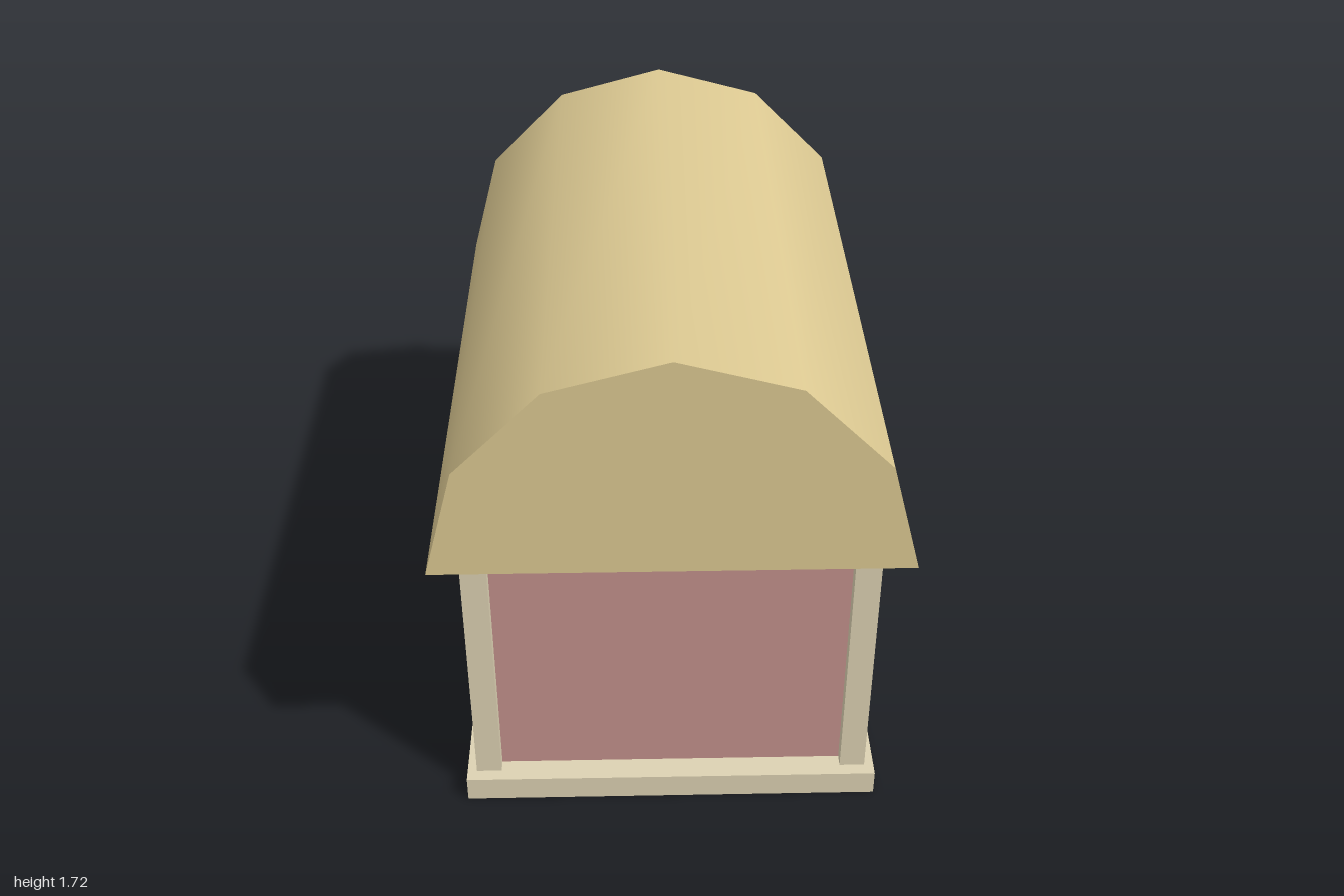
import * as THREE from 'three';

const mat = (name, color) => Object.assign(new THREE.MeshStandardMaterial({ color }), { name });

export function createModel() {
  const roofMat = mat('straw roof', 0xdcc992);
  const wallMat = mat('pink wall', 0xc3918c);
  const trimMat = mat('cream trim', 0xdcd1b2);
  const glassMat = mat('pale blue glass', 0xc3d5dc);
  const darkMat = mat('dark reveal', 0x54434c);

  const model = new THREE.Group();
  model.name = 'cabin';

  const add = (name, geometry, material, parent = model) => {
    const mesh = new THREE.Mesh(geometry, material);
    mesh.name = name;
    parent.add(mesh);
    return mesh;
  };
  // Box given by its lowest and highest corners
  const box = (name, material, [x0, y0, z0], [x1, y1, z1], parent) => {
    const g = new THREE.BoxGeometry(x1 - x0, y1 - y0, z1 - z0);
    g.translate((x0 + x1) / 2, (y0 + y1) / 2, (z0 + z1) / 2);
    return add(name, g, material, parent);
  };
  const rect = (path, [z0, y0, z1, y1]) => path
    .moveTo(-z1, y0).lineTo(-z0, y0).lineTo(-z0, y1).lineTo(-z1, y1).closePath();
  // Panel on the +x wall with rectangular openings; rectangles are [z0, y0, z1, y1]
  const panel = (name, material, outer, holes, x0, x1, parent) => {
    const shape = new THREE.Shape();
    rect(shape, outer);
    for (const h of holes) {
      const path = new THREE.Path();
      rect(path, h);
      shape.holes.push(path);
    }
    const g = new THREE.ExtrudeGeometry(shape, { depth: x1 - x0, bevelEnabled: false });
    g.rotateY(Math.PI / 2).translate(x0, 0, 0);
    return add(name, g, material, parent);
  };

  // Base, walls and corner posts
  box('base', trimMat, [-0.66, 0, -0.91], [0.66, 0.085, 0.91]);
  box('walls', wallMat, [-0.59, 0.085, -0.83], [0.59, 1.015, 0.83]);
  for (const sx of [-1, 1]) for (const sz of [-1, 1]) {
    const post = add('cornerPost', new THREE.BoxGeometry(0.08, 0.93, 0.08), trimMat);
    post.position.set(sx * 0.59, 0.55, sz * 0.83);
  }

  // Half-round roof with closed underside
  const roof = new THREE.Group();
  roof.name = 'roof';
  roof.position.y = 1.015;
  model.add(roof);
  const shell = new THREE.CylinderGeometry(0.708, 0.708, 2, 6, 1, false, Math.PI / 2, Math.PI);
  add('roofShell', shell.rotateX(Math.PI / 2), roofMat, roof);
  add('roofUnderside', new THREE.PlaneGeometry(1.416, 2).rotateX(Math.PI / 2), roofMat, roof);

  // Triple window
  const win = new THREE.Group();
  win.name = 'window';
  model.add(win);
  const panes = [0.43, 0.21, -0.01].map((z) => [z, 0.495, z + 0.155, 0.92]);
  panel('windowFrame', trimMat, [-0.075, 0.43, 0.645, 0.985], panes, 0.59, 0.64, win);
  for (const p of panes) {
    const [z0, y0, z1, y1] = p;
    box('windowPane', glassMat, [0.588, y0, z0], [0.596, y1, z1], win);
    const inner = [z0 + 0.003, y0 + 0.003, z1 - 0.003, y1 - 0.003];
    panel('windowReveal', darkMat, p, [inner], 0.592, 0.637, win);
  }

  // Door with frame, glazed opening and handle
  const door = new THREE.Group();
  door.name = 'door';
  model.add(door);
  const frame = new THREE.Shape([
    [0.16, 0.085], [0.21, 0.085], [0.21, 0.93], [0.64, 0.93],
    [0.64, 0.085], [0.69, 0.085], [0.69, 0.985], [0.16, 0.985],
  ].map(([u, y]) => new THREE.Vector2(u, y)));
  const frameGeo = new THREE.ExtrudeGeometry(frame, { depth: 0.06, bevelEnabled: false });
  add('doorFrame', frameGeo.rotateY(Math.PI / 2).translate(0.59, 0, 0), trimMat, door);
  const pane = [-0.615, 0.645, -0.235, 0.915];
  panel('doorLeaf', wallMat, [-0.64, 0.085, -0.21, 0.93], [pane], 0.585, 0.61, door);
  box('doorGlass', glassMat, [0.588, pane[1], pane[0]], [0.596, pane[3], pane[2]], door);
  box('doorHandle', trimMat, [0.61, 0.39, -0.28], [0.667, 0.495, -0.235], door);

  return model;
}
